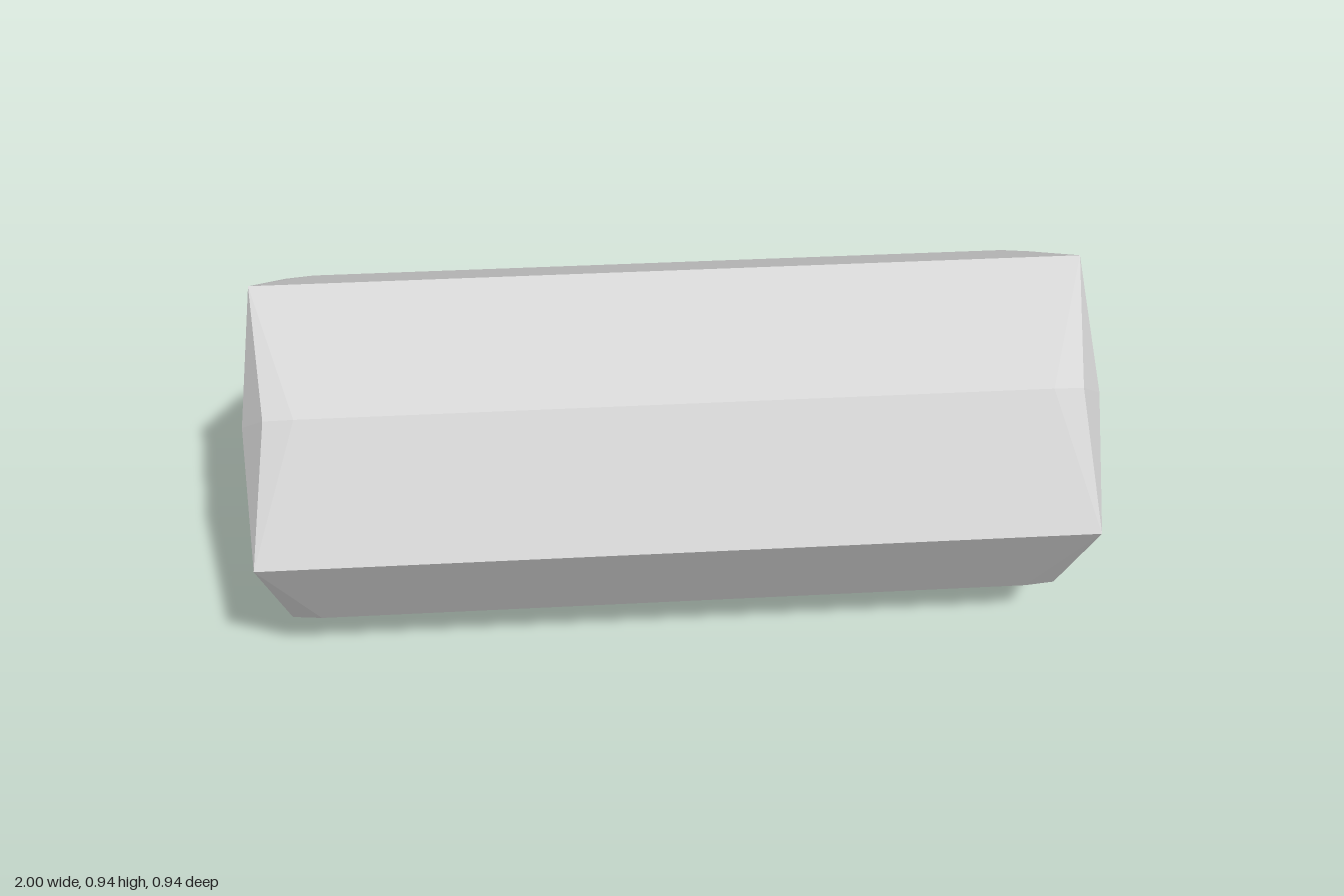
import * as THREE from 'three';

const V = (x, y, z) => new THREE.Vector3(x, y, z);

export function createModel() {
  const group = new THREE.Group();
  group.name = 'facetedBar';
  const grey = new THREE.MeshStandardMaterial({ color: 0xd0d0d0 });
  grey.name = 'lightGrey';

  // Collects flat triangles, always wound away from the bar's centre
  const collector = () => {
    const pos = [];
    const tri = (a, b, c) => {
      const n = b.clone().sub(a).cross(c.clone().sub(a));
      const mid = a.clone().add(b).add(c);
      const order = n.dot(mid) < 0 ? [a, c, b] : [a, b, c];
      for (const p of order) pos.push(p.x, p.y, p.z);
    };
    const quad = (a, b, c, d) => { tri(a, b, c); tri(a, c, d); };
    const mesh = (name) => {
      const g = new THREE.BufferGeometry();
      g.setAttribute('position', new THREE.Float32BufferAttribute(pos, 3));
      g.computeVertexNormals();
      const m = new THREE.Mesh(g, grey);
      m.name = name;
      m.position.y = 0.47;
      group.add(m);
    };
    return { tri, quad, mesh };
  };

  // Corner helpers: k counts quarter turns around the bar, s is the end
  const turn = (x, y, z, k) => V(x, y, z).applyAxisAngle(V(1, 0, 0), k * Math.PI / 2);
  const apex = (s, k) => turn(s * 0.98, 0.47, 0, k);
  const ridge = (s, k) => turn(s * 0.87, 0.302, 0.302, k);
  const notch = (s, k) => turn(s * 0.94, 0.298, 0.298, k);
  const cap = (s, k) => turn(s, 0.236, 0.236, k);

  // Eight long sides
  const body = collector();
  for (let k = 0; k < 4; k++) {
    for (const j of [k, k + 1]) {
      body.quad(apex(-1, j), apex(1, j), ridge(1, k), ridge(-1, k));
      for (const s of [-1, 1]) body.tri(apex(s, j), ridge(s, k), notch(s, k));
    }
  }
  body.mesh('longSides');

  // Bevelled ends: flat square, four sloping triangles and corner facets
  for (const s of [-1, 1]) {
    const end = collector();
    end.quad(cap(s, 0), cap(s, 1), cap(s, 2), cap(s, 3));
    for (let k = 0; k < 4; k++) {
      end.tri(apex(s, k + 1), cap(s, k), cap(s, k + 1));
      end.tri(apex(s, k), cap(s, k), notch(s, k));
      end.tri(apex(s, k + 1), cap(s, k), notch(s, k));
    }
    end.mesh(s > 0 ? 'leftEnd' : 'rightEnd');
  }
  return group;
}
